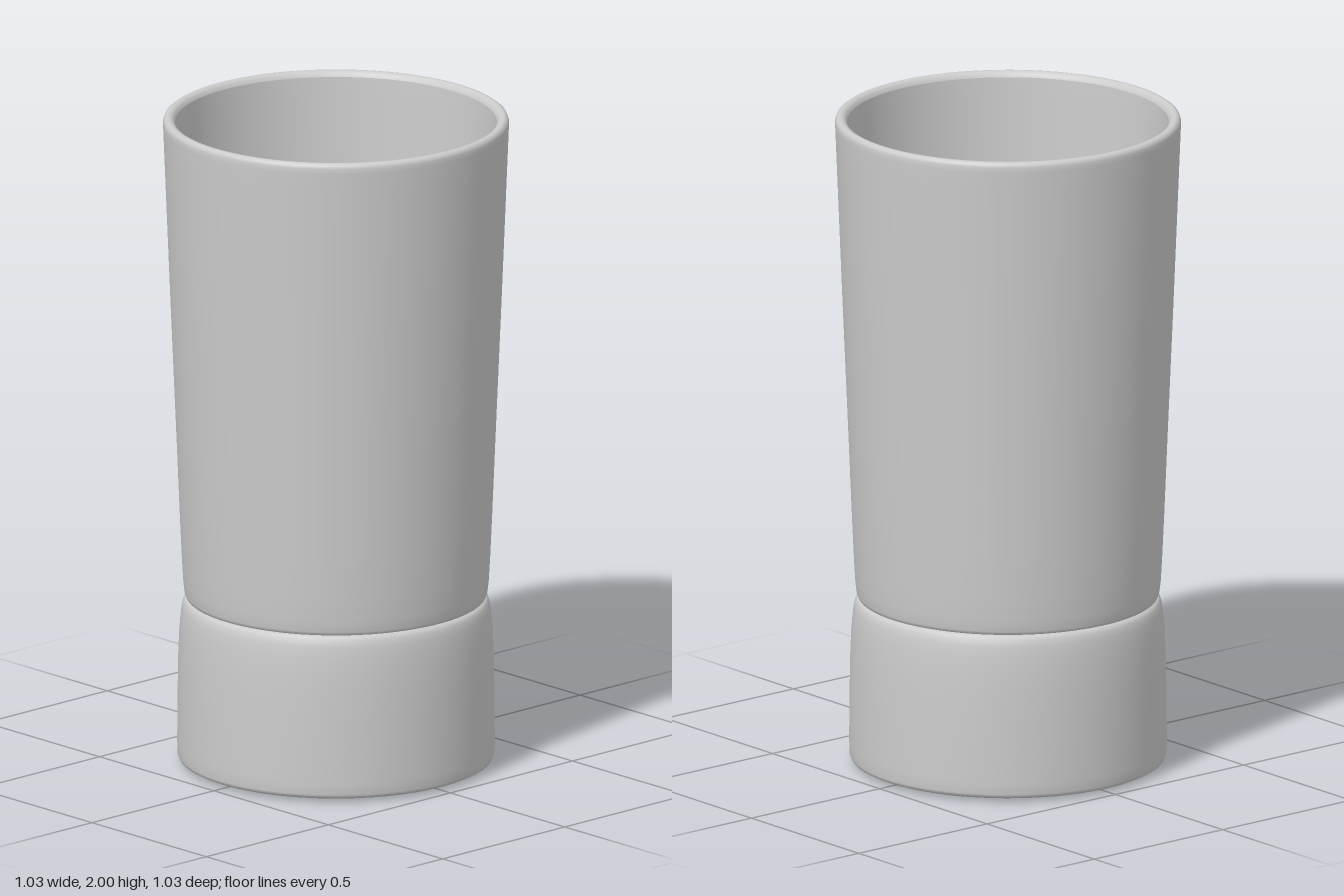
import * as THREE from 'three';

const material = new THREE.MeshStandardMaterial({ color: 0xcccccc, side: THREE.DoubleSide });

// Revolve a [radius, height] profile around the y axis
function turned(name, profile) {
  const points = profile.map(([r, y]) => new THREE.Vector2(r, y));
  const mesh = new THREE.Mesh(new THREE.LatheGeometry(points, 96), material);
  mesh.name = name;
  return mesh;
}

export function createModel() {
  const group = new THREE.Group();
  group.name = 'tumbler';

  // Thick base: nearly flat underside, upright wall, rounded shoulder
  group.add(turned('base', [
    [0, 0], [0.35, 0.003], [0.44, 0.008], [0.46, 0.01], [0.47, 0.015], [0.474, 0.025],
    [0.475, 0.06], [0.474, 0.2], [0.472, 0.32], [0.469, 0.4], [0.465, 0.45],
    [0.461, 0.48], [0.456, 0.498], [0.45, 0.507], [0.44, 0.512], [0.42, 0.513],
  ]));

  // Flared outer wall, rounded lip
  group.add(turned('outerWall', [
    [0.42, 0.511], [0.44, 0.512], [0.449, 0.515], [0.453, 0.525], [0.457, 0.56],
    [0.461, 0.63], [0.467, 0.76], [0.476, 0.98], [0.496, 1.45], [0.515, 1.92],
    [0.517, 1.97], [0.517, 1.985], [0.514, 1.994], [0.507, 1.999], [0.5, 2],
    [0.492, 1.998], [0.485, 1.992], [0.481, 1.983],
  ]));

  // Hollow interior with a softly rounded floor
  group.add(turned('innerWall', [
    [0.481, 1.983], [0.478, 1.93], [0.46, 1.5], [0.44, 1.0], [0.428, 0.72],
    [0.423, 0.66], [0.412, 0.61], [0.39, 0.575], [0.355, 0.556], [0.3, 0.55], [0, 0.55],
  ]));

  return group;
}
